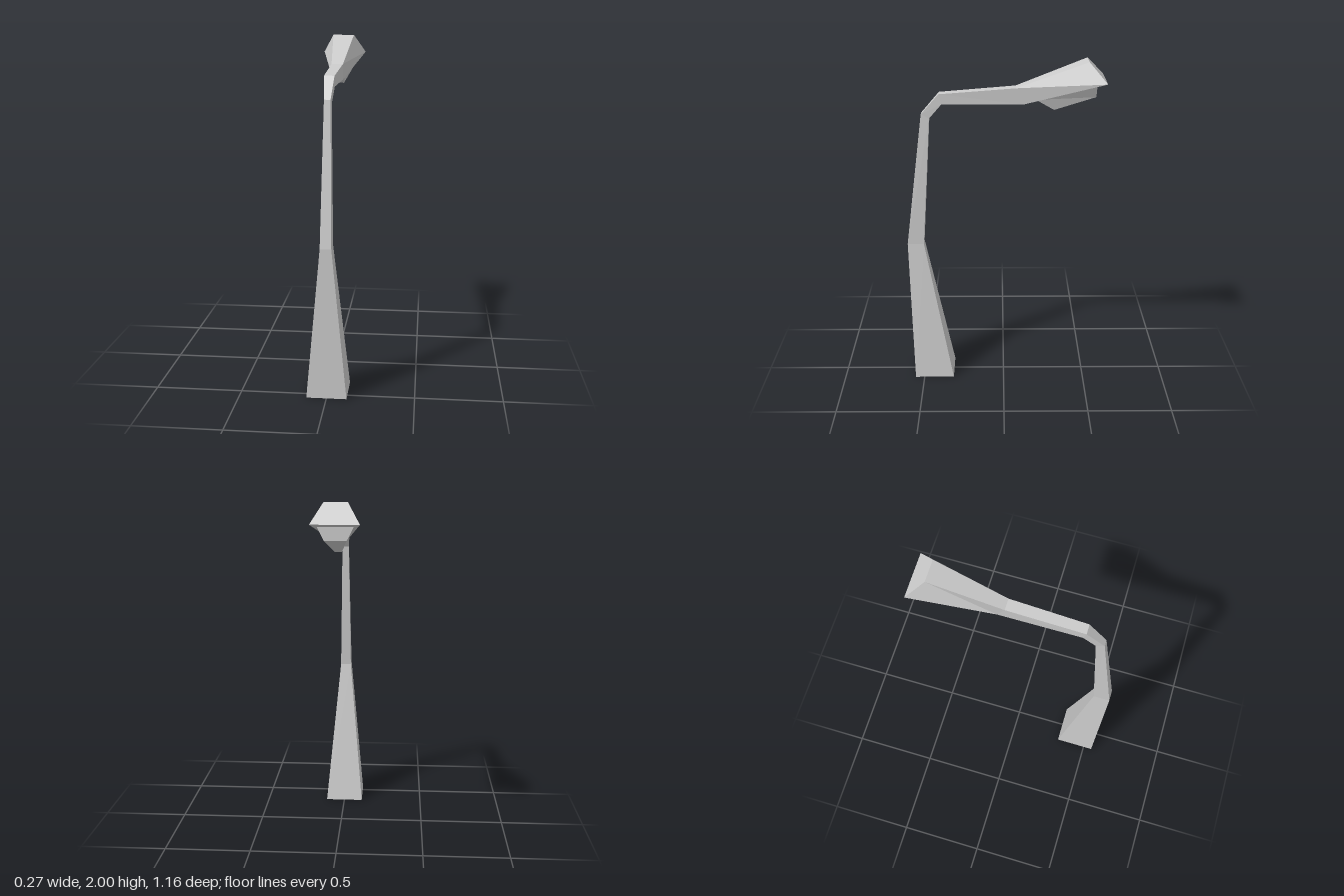
import * as THREE from 'three';

// Skin four-sided sections, each [outerZ, outerY, outerHalfWidth, innerZ, innerY, innerHalfWidth]
function loft(name, sections, material) {
  const pos = [];
  const idx = [];
  for (const [zo, yo, wo, zi, yi, wi] of sections) {
    pos.push(wo, yo, zo, -wo, yo, zo, -wi, yi, zi, wi, yi, zi);
  }
  const last = (sections.length - 1) * 4;
  for (let r = 0; r < last; r += 4) {
    for (let j = 0; j < 4; j++) {
      const k = (j + 1) % 4;
      idx.push(r + j, r + 4 + j, r + k, r + k, r + 4 + j, r + 4 + k);
    }
  }
  // end caps
  idx.push(0, 1, 2, 0, 2, 3);
  idx.push(last, last + 2, last + 1, last, last + 3, last + 2);

  const indexed = new THREE.BufferGeometry();
  indexed.setAttribute('position', new THREE.Float32BufferAttribute(pos, 3));
  indexed.setIndex(idx);
  const geometry = indexed.toNonIndexed();
  geometry.computeVertexNormals();
  const mesh = new THREE.Mesh(geometry, material);
  mesh.name = name;
  return mesh;
}

export function createModel() {
  const group = new THREE.Group();
  group.name = 'streetLamp';
  const grey = new THREE.MeshStandardMaterial({ color: 0xcccccc, flatShading: true });

  // Tapered post, bent elbow, arm and flared lamp hood in one continuous skin
  group.add(loft('postArmAndHood', [
    [0.555, 0, 0.115, 0.315, 0, 0.115],
    [0.58, 0.885, 0.032, 0.482, 0.885, 0.032],
    [0.475, 1.69, 0.018, 0.428, 1.665, 0.02],
    [0.37, 1.81, 0.029, 0.355, 1.75, 0.029],
    [-0.07, 1.845, 0.034, -0.115, 1.75, 0.031],
    [-0.48, 2.0, 0.065, -0.58, 1.89, 0.133],
  ], grey));

  // Wedge-shaped light under the hood, sunk slightly into it
  group.add(loft('lightLens', [
    [-0.185, 1.778, 0.035, -0.29, 1.715, 0.02],
    [-0.525, 1.878, 0.1, -0.525, 1.8, 0.06],
  ], grey));

  return group;
}
